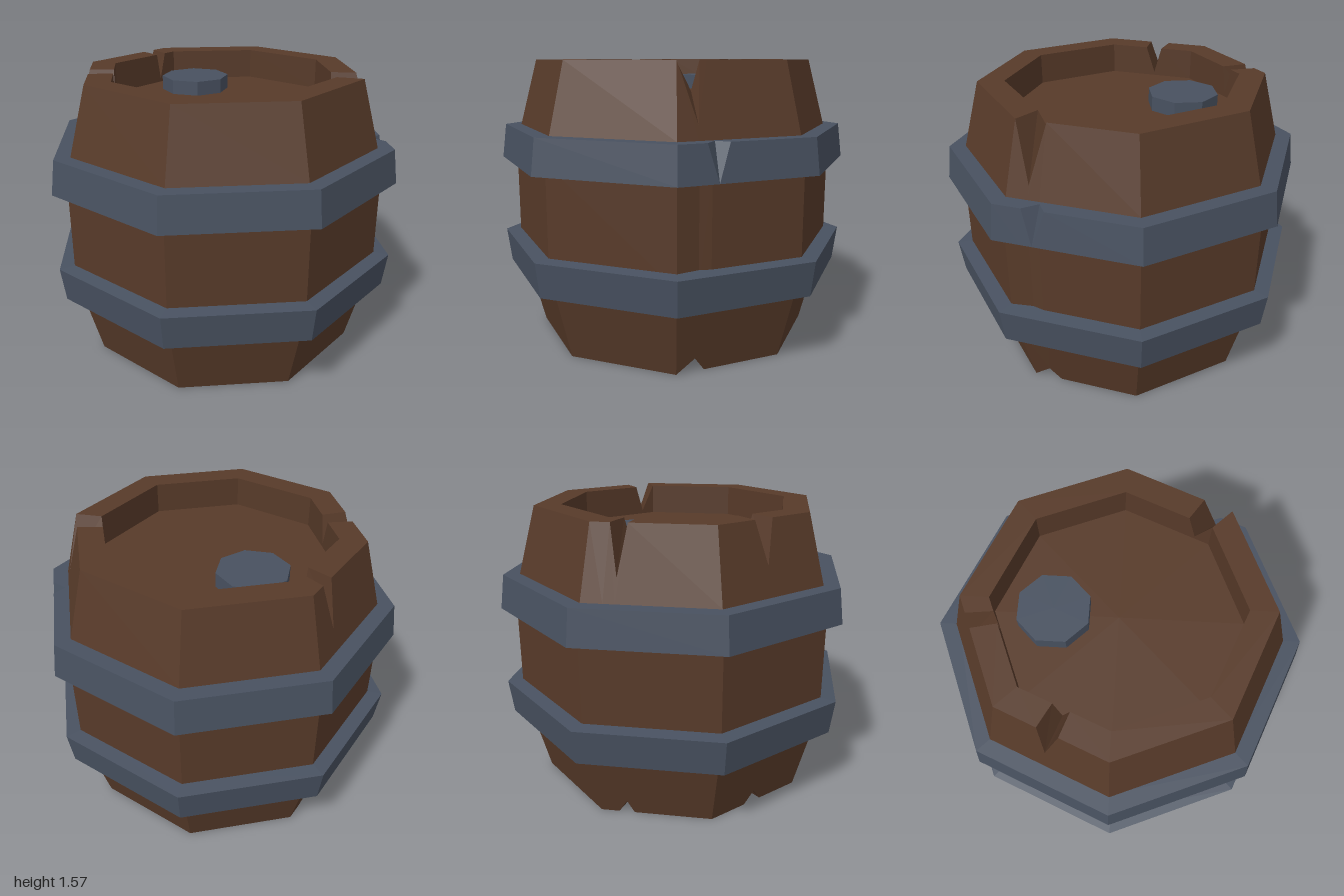
import * as THREE from 'three';

const wood = new THREE.MeshStandardMaterial({ color: 0x573a29, flatShading: true });
const iron = new THREE.MeshStandardMaterial({ color: 0x485160, flatShading: true });
const SIDES = 8, STEP = 360 / SIDES, H = 1.57;
const rad = THREE.MathUtils.degToRad;

// Point on an octagon of corner radius r; angle in degrees from +z towards +x
function onOctagon(angle, r, y) {
  const k = r * Math.cos(rad(STEP / 2)) / Math.cos(rad((angle % STEP) - STEP / 2));
  return [k * Math.sin(rad(angle)), y, k * Math.cos(rad(angle))];
}

// Sweep a [radius, height] profile round the octagon, with extra columns at each
// notch { from, mid, to }; profile(notch) gives the altered section at its middle.
function octagonSweep(profile, notches, closed) {
  const columns = new Map();
  for (let i = 0; i < SIDES; i++) columns.set(i * STEP, null);
  for (const n of notches) {
    columns.set(n.from, null);
    columns.set(n.mid, n);
    columns.set(n.to, null);
  }
  const cols = [...columns].sort((a, b) => a[0] - b[0]);
  const rings = cols.map(([angle, n]) => profile(n).map(([r, y]) => onOctagon(angle, r, y)));
  const pos = [];
  rings.forEach((a, i) => {
    const b = rings[(i + 1) % rings.length];
    const count = closed ? a.length : a.length - 1;
    for (let j = 0; j < count; j++) {
      const k = (j + 1) % a.length;
      // The diagonal starts at the notch middle so both notch walls mirror
      const tris = cols[i][1]
        ? [a[j], b[j], b[k], a[j], b[k], a[k]]
        : [a[j], b[j], a[k], b[j], b[k], a[k]];
      pos.push(...tris.flat());
    }
  });
  const g = new THREE.BufferGeometry();
  g.setAttribute('position', new THREE.Float32BufferAttribute(pos, 3));
  g.computeVertexNormals();
  return g;
}

// Stave wall with rims; notches cut the top and bottom edges
function staveProfile(n) {
  const top = n ? n.depth : 0, low = n ? 0.08 : 0, mid = 0.915 - (n ? n.dent : 0);
  const slope = 0.1 / 0.37;
  return [
    [0.64, 0.17],
    [0.64, low * 1.2],
    [0.785 + low * slope, low],
    [0.885, 0.38],
    [mid, 0.5],
    [mid, 1.07],
    [0.885, 1.2],
    [0.785 + top * slope, H - top],
    [0.64, H - Math.min(top, 0.15)],
    [0.64, 1.4],
  ];
}

export function createModel() {
  const group = new THREE.Group();
  const add = (name, geometry, material, x = 0, y = 0, z = 0) => {
    const mesh = new THREE.Mesh(geometry, material);
    mesh.name = name;
    mesh.position.set(x, y, z);
    group.add(mesh);
    return mesh;
  };

  // Staves with three chips
  add('staves', octagonSweep(staveProfile, [
    { from: 45, mid: 52.1, to: 56.3, depth: 0.3, dent: 0.015 },
    { from: 186.9, mid: 190.8, to: 193.3, depth: 0.25, dent: 0 },
    { from: 241.7, mid: 245.7, to: 250.7, depth: 0.22, dent: 0 },
  ], false), wood);

  // Recessed end boards
  const board = new THREE.CircleGeometry(0.64, SIDES);
  add('topBoard', board, wood, 0, 1.4).rotation.x = -Math.PI / 2;
  add('bottomBoard', board, wood, 0, 0.17).rotation.x = Math.PI / 2;

  // Hoops; the upper one has a V-shaped dent
  add('upperHoop', octagonSweep((n) => [
    [0.88, 1.0], [1.0, 1.01], [n ? 0.905 : 0.975, 1.2], [0.87, 1.2],
  ], [{ from: 53.6, mid: 57.1, to: 60.9 }], true), iron);
  add('lowerHoop', octagonSweep(() => [
    [0.87, 0.38], [0.975, 0.38], [1.0, 0.57], [0.88, 0.58],
  ], [], true), iron);

  // Bung in the top board
  const bung = new THREE.CylinderGeometry(0.195, 0.195, 0.1, SIDES);
  bung.rotateY(rad(STEP / 2));
  add('bung', bung, iron, 0, 1.43, -0.33);

  return group;
}
